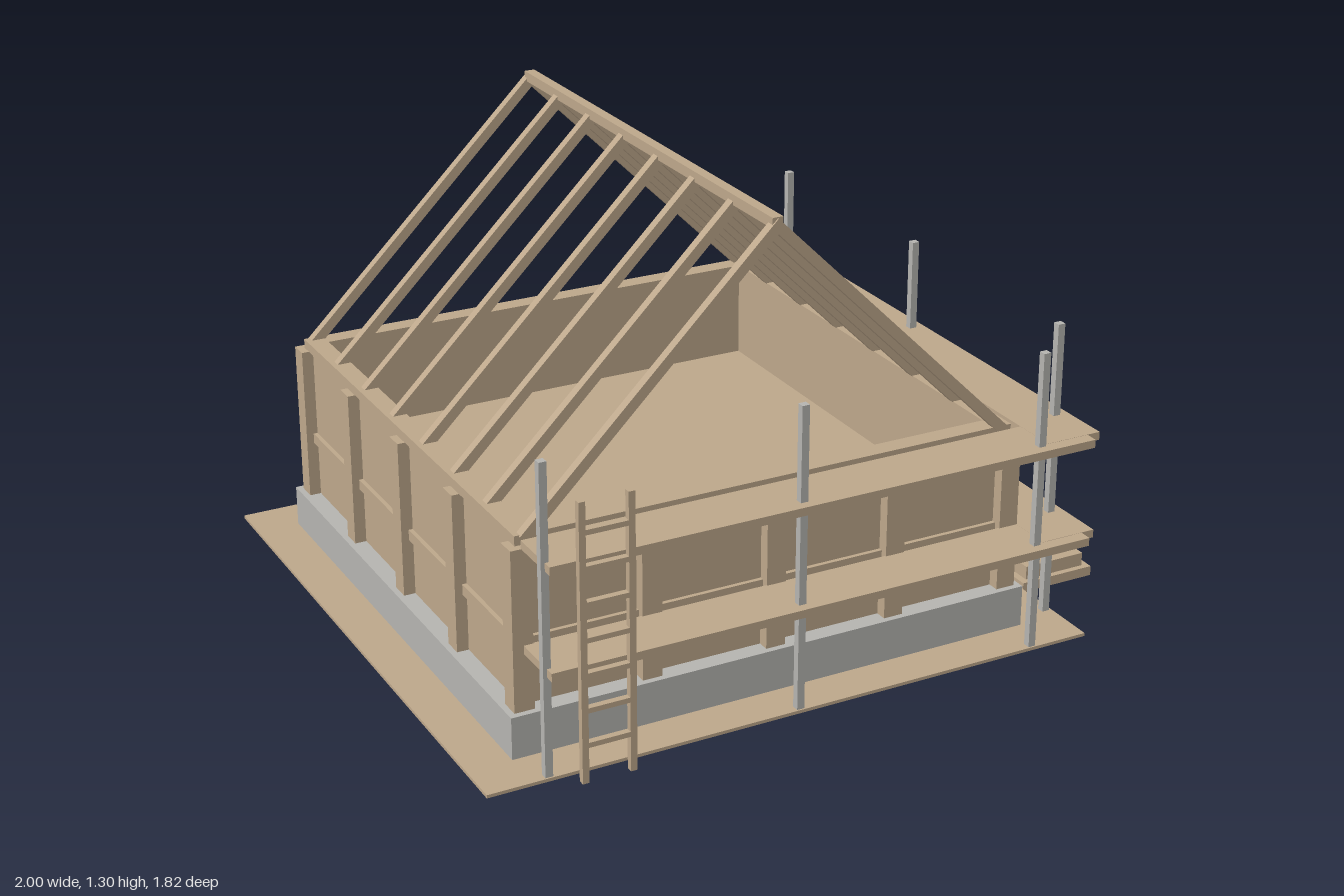
import * as THREE from 'three';

export function createModel() {
  const root = new THREE.Group();
  root.name = 'timberFrameHouse';
  const timber = new THREE.MeshStandardMaterial({ color: 0xbca68a });
  timber.name = 'timber';
  const grey = new THREE.MeshStandardMaterial({ color: 0xb4b3af });
  grey.name = 'concreteAndSteel';

  const group = (name) => {
    const g = new THREE.Group();
    g.name = name;
    root.add(g);
    return g;
  };
  // Box given by its extents
  const box = (parent, name, mat, x0, x1, y0, y1, z0, z1) => {
    const m = new THREE.Mesh(new THREE.BoxGeometry(x1 - x0, y1 - y0, z1 - z0), mat);
    m.position.set((x0 + x1) / 2, (y0 + y1) / 2, (z0 + z1) / 2);
    m.name = name;
    parent.add(m);
  };
  // House centre; rings are square frames around it
  const CX = -0.117, CZ = -0.025;
  const square = (path, h) => {
    path.moveTo(-h, -h);
    path.lineTo(h, -h);
    path.lineTo(h, h);
    path.lineTo(-h, h);
    path.closePath();
    return path;
  };
  const ring = (parent, name, mat, outer, inner, y0, y1) => {
    const shape = square(new THREE.Shape(), outer);
    shape.holes.push(square(new THREE.Path(), inner));
    const geo = new THREE.ExtrudeGeometry(shape, { depth: y1 - y0, bevelEnabled: false });
    geo.rotateX(-Math.PI / 2);
    const m = new THREE.Mesh(geo, mat);
    m.position.set(CX, y0, CZ);
    m.name = name;
    parent.add(m);
  };

  // Ground board, with the foundation reaching just through it
  box(root, 'ground', timber, -1, 0.77, 0.001, 0.01, -0.91, 0.856);
  ring(root, 'foundation', grey, 0.76, 0.665, 0, 0.128);

  // Walls, rails, plates and floor
  const house = group('house');
  ring(house, 'wallPanels', timber, 0.71, 0.668, 0.128, 0.575);
  ring(house, 'middleRail', timber, 0.722, 0.69, 0.29, 0.32);
  ring(house, 'topPlate', timber, 0.722, 0.668, 0.575, 0.602);
  box(house, 'floor', timber, CX - 0.669, CX + 0.669, 0.29, 0.32, CZ - 0.669, CZ + 0.669);

  // Posts on all four sides, corners included
  const steps = [-0.715, -0.358, 0, 0.358, 0.715];
  const post = (x, z) =>
    box(house, 'wallPost', timber, CX + x - 0.028, CX + x + 0.028, 0.128, 0.575, CZ + z - 0.028, CZ + z + 0.028);
  for (const s of steps) {
    for (const side of [-0.715, 0.715]) {
      post(s, side);
      if (Math.abs(s) < 0.7) post(side, s);
    }
  }

  // Roof: eight rafter pairs and a ridge beam
  const roof = group('roof');
  const rafterShape = new THREE.Shape();
  rafterShape.moveTo(0, 1.258);
  rafterShape.lineTo(0, 1.298);
  rafterShape.lineTo(-0.71, 0.599);
  rafterShape.lineTo(-0.669, 0.599);
  rafterShape.closePath();
  const rafterGeo = new THREE.ExtrudeGeometry(rafterShape, { depth: 0.026, bevelEnabled: false });
  rafterGeo.translate(0, 0, -0.013);
  for (let i = 0; i < 8; i++) {
    for (const turn of [0, Math.PI]) {
      const r = new THREE.Mesh(rafterGeo, timber);
      r.name = 'rafter';
      r.position.set(CX, 0, -0.737 + i * 0.204);
      r.rotation.y = turn;
      roof.add(r);
    }
  }
  box(roof, 'ridgeBeam', timber, CX - 0.015, CX + 0.015, 1.273, 1.301, -0.74, 0.7);

  // Scaffold: two deck levels along the front and one side, clear of the posts
  const scaffold = group('scaffold');
  for (const y of [0.288, 0.574]) {
    box(scaffold, 'frontDeck', timber, -0.83, 0.749, y, y + 0.023, 0.714, 0.878);
    box(scaffold, 'sideDeck', timber, 0.624, 0.788, y + 0.0005, y + 0.0235, -0.738, 0.842);
  }
  const poles = [[-0.83, 0.841], [-0.117, 0.841], [0.6, 0.841], [0.751, -0.738], [0.751, -0.025], [0.751, 0.69]];
  for (const [x, z] of poles) {
    box(scaffold, 'scaffoldPole', grey, x - 0.0105, x + 0.0105, 0, 0.86, z - 0.0105, z + 0.0105);
  }

  // Ladder
  const ladder = group('ladder');
  for (const x of [-0.756, -0.624]) {
    box(ladder, 'ladderRail', timber, x - 0.009, x + 0.009, 0, 0.763, 0.888, 0.906);
  }
  for (let i = 0; i < 7; i++) {
    const y = 0.105 + i * 0.096;
    box(ladder, 'ladderRung', timber, -0.75, -0.63, y - 0.007, y + 0.007, 0.888, 0.906);
  }

  // Stacked boards beside the house
  const boards = group('boardStacks');
  box(boards, 'longStack', timber, 0.77, 1, 0, 0.022, -0.14, 0.28);
  box(boards, 'lowerStack', timber, 0.77, 1, 0, 0.028, 0.375, 0.564);
  box(boards, 'upperStack', timber, 0.79, 0.98, 0.028, 0.067, 0.395, 0.547);

  return root;
}
